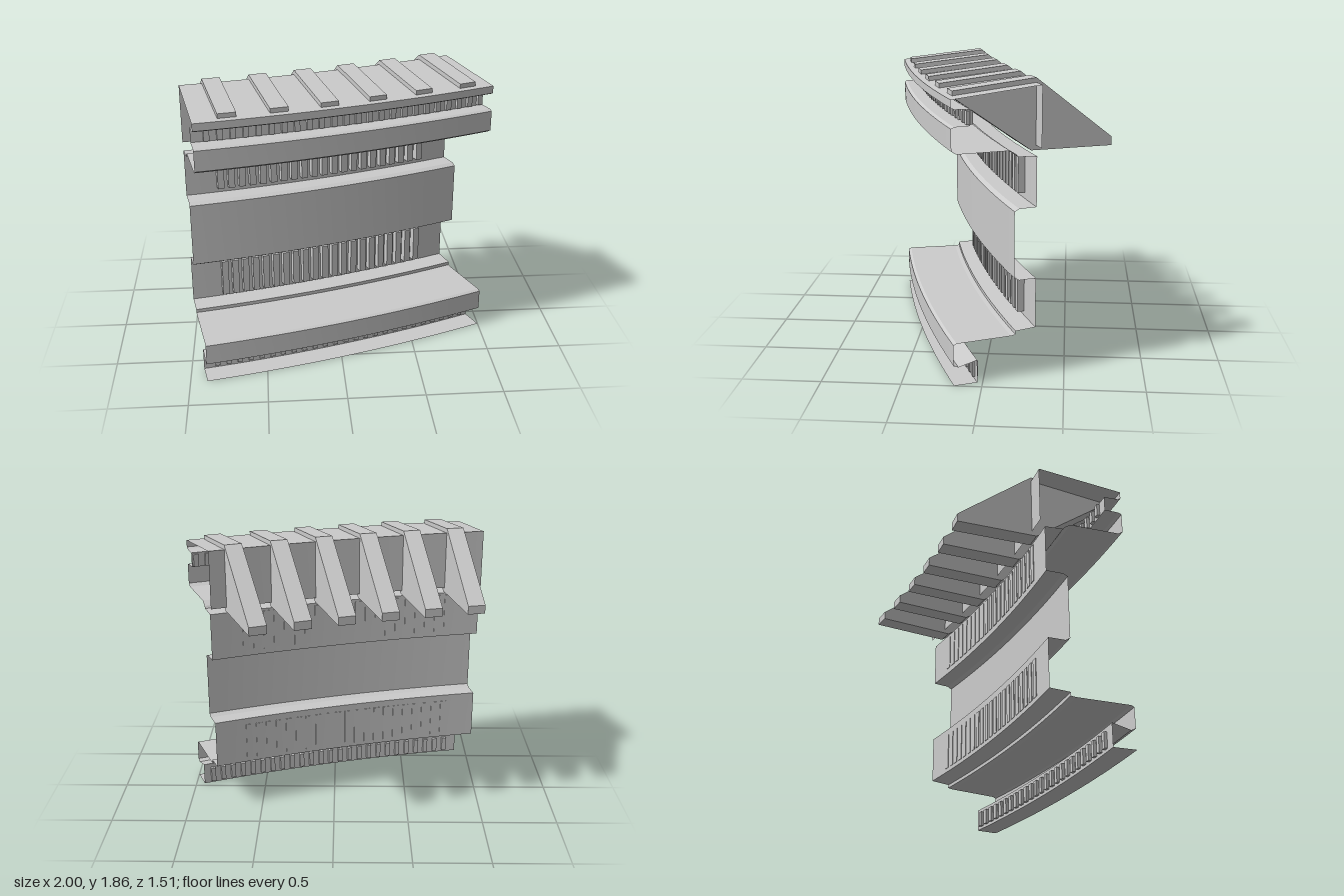
import * as THREE from 'three';

const RAD = Math.PI / 180;
const R = 9.77;                       // radius of the outermost face
const A0 = 11.1 * RAD, A1 = 22.7 * RAD; // the section's end angles
const CX = -0.89 - R * Math.sin(A0);  // centre of the curve
const CZ = 0.745 - R * Math.cos(A0);
const material = new THREE.MeshStandardMaterial({ color: 0xcccccc, side: THREE.DoubleSide });

// Sweep an open [depth, y] profile along the arc; every strip keeps its own normals
function sweep(name, profile, steps = 24) {
  const pos = [], index = [];
  for (let k = 0; k < profile.length - 1; k++) {
    const base = pos.length / 3;
    for (let i = 0; i <= steps; i++) {
      const a = A0 + (A1 - A0) * i / steps;
      for (const [d, y] of [profile[k], profile[k + 1]])
        pos.push((R - d) * Math.sin(a), y, (R - d) * Math.cos(a));
    }
    for (let i = 0; i < steps; i++) {
      const p = base + i * 2;
      index.push(p, p + 2, p + 1, p + 1, p + 2, p + 3);
    }
  }
  const geo = new THREE.BufferGeometry();
  geo.setAttribute('position', new THREE.Float32BufferAttribute(pos, 3));
  geo.setIndex(index);
  geo.computeVertexNormals();
  const mesh = new THREE.Mesh(geo, material);
  mesh.name = name;
  return mesh;
}

// Repeat a geometry (local x = radial, z = along the arc) between two angles
function radialRow(name, geo, count, from, to) {
  const row = new THREE.Group();
  row.name = name + 's';
  for (let i = 0; i < count; i++) {
    const mesh = new THREE.Mesh(geo, material);
    mesh.name = name;
    mesh.rotation.y = from + (to - from) * i / (count - 1) - Math.PI / 2;
    row.add(mesh);
  }
  return row;
}

// Row of upright bars between two x positions
function bars(name, count, x0, x1, width, d0, d1, y0, y1) {
  const r = R - (d0 + d1) / 2;
  const geo = new THREE.BoxGeometry(d1 - d0, y1 - y0, width);
  geo.translate(r, (y0 + y1) / 2, 0);
  return radialRow(name, geo, count, Math.asin((x0 - CX) / r), Math.asin((x1 - CX) / r));
}

export function createModel() {
  const model = new THREE.Group();
  model.name = 'curvedWallSection';
  const arc = new THREE.Group();
  arc.name = 'arc';
  arc.position.set(CX, 0, CZ);
  model.add(arc);

  // Base: lip, recessed band, projecting ledge
  arc.add(sweep('baseLedge', [
    [0, 0], [0.15, 0], [0.15, 0.15], [0.03, 0.118], [0, 0.13],
    [0, 0.265], [0.02, 0.275], [0.37, 0.28],
  ]));
  // Lower ring, recess, middle band, recess, upper ring
  arc.add(sweep('wallFace', [
    [0.37, 0.28], [0.4, 0.285], [0.4, 0.308], [0.53, 0.318], [0.53, 0.64],
    [0.42, 0.638], [0.39, 0.655], [0.39, 1.075], [0.42, 1.09], [0.53, 1.092],
    [0.53, 1.405], [0.41, 1.41], [0.4, 1.425], [0.36, 1.45],
  ]));
  // Cornice, sloping top and rear wall
  arc.add(sweep('cornice', [
    [0.36, 1.45], [0.03, 1.45], [0, 1.468], [0, 1.6], [0.02, 1.61], [0.115, 1.612],
    [0.115, 1.71], [0.02, 1.712], [0, 1.722], [0, 1.77], [0.56, 1.83], [0.56, 1.45],
  ]));

  // Bars in the recesses
  arc.add(bars('lowerBar', 21, -0.77, 0.585, 0.043, 0.485, 0.534, 0.345, 0.595));
  arc.add(bars('upperBar', 21, -0.77, 0.585, 0.043, 0.485, 0.534, 1.13, 1.39));
  arc.add(bars('baseTooth', 25, -0.83, 0.88, 0.032, 0.135, 0.17, 0.018, 0.12));
  arc.add(bars('corniceTooth', 24, -0.82, 0.93, 0.035, 0.095, 0.135, 1.618, 1.7));

  // Buttress ribs running over the top and down behind
  const outline = [
    [0.04, 1.77], [0.04, 1.803], [0.56, 1.86], [1.055, 1.475],
    [1.055, 1.42], [0.53, 1.42], [0.07, 1.745],
  ];
  const ribShape = new THREE.Shape(outline.map(([d, y]) => new THREE.Vector2(R - d, y)));
  const ribGeo = new THREE.ExtrudeGeometry(ribShape, { depth: 0.114, bevelEnabled: false });
  ribGeo.translate(0, 0, -0.057);
  arc.add(radialRow('buttressRib', ribGeo, 6, 12.35 * RAD, 21.7 * RAD));

  return model;
}
